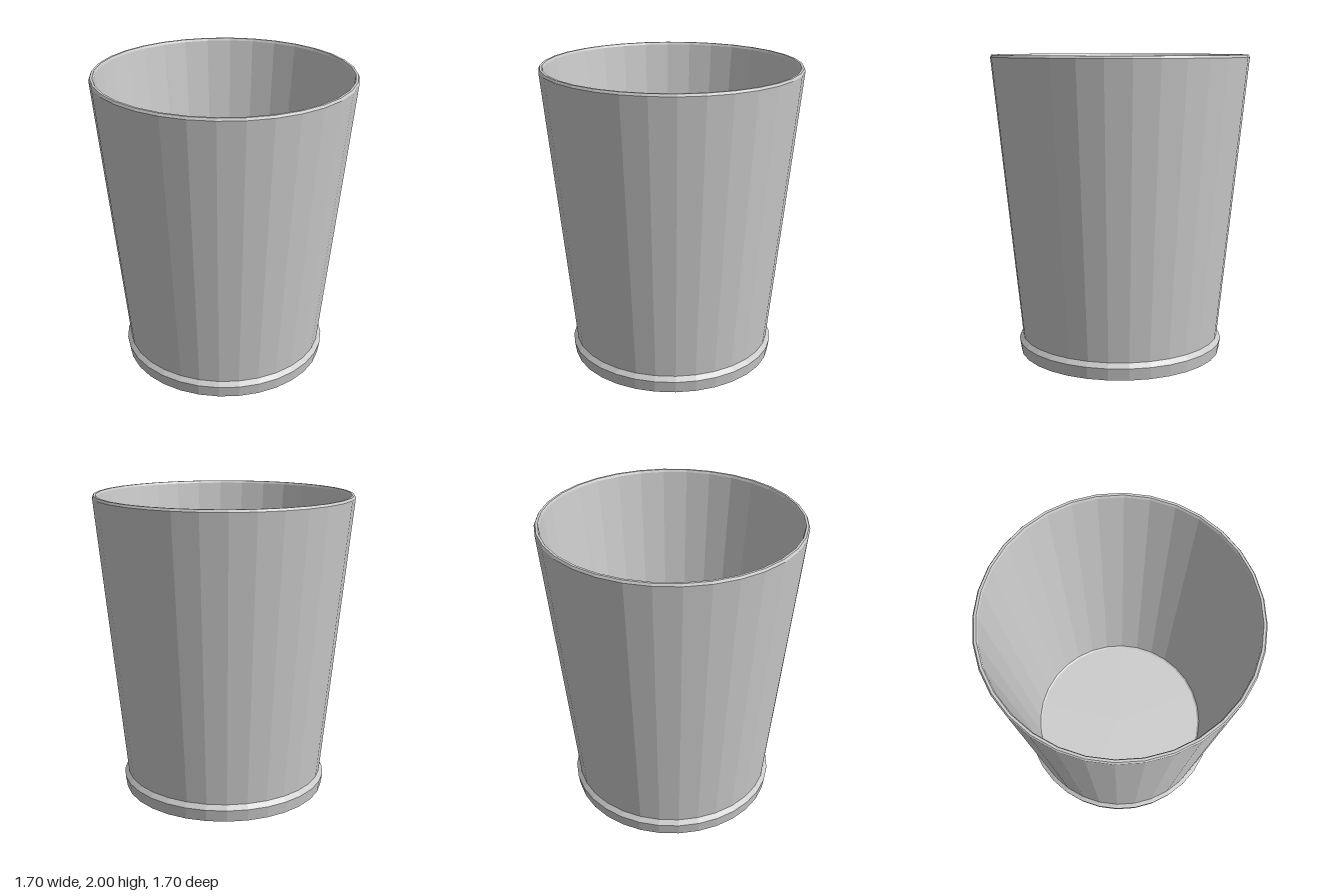
import * as THREE from 'three';

const SIDES = 32;

export function createModel() {
  const group = new THREE.Group();
  group.name = 'tumbler';
  const material = new THREE.MeshStandardMaterial({ color: 0xcccccc, flatShading: true });

  // Turns a profile of [radius, height] pairs around the y axis
  const turn = (name, profile) => {
    const points = profile.map(([r, y]) => new THREE.Vector2(r, y));
    const mesh = new THREE.Mesh(new THREE.LatheGeometry(points, SIDES), material);
    mesh.name = name;
    group.add(mesh);
  };

  // Underside and bevelled foot ring
  turn('base', [[0, 0], [0.682, 0], [0.694, 0.08], [0.668, 0.11]]);

  // Tapered outer wall
  turn('outerWall', [[0.668, 0.11], [0.85, 1.985]]);

  // Narrow chamfered lip
  turn('rim', [[0.85, 1.985], [0.842, 2], [0.827, 2], [0.82, 1.985]]);

  // Inner wall, with a small bevel down to the floor
  turn('interior', [[0.82, 1.985], [0.612, 0.11], [0.6, 0.1], [0, 0.1]]);

  return group;
}
